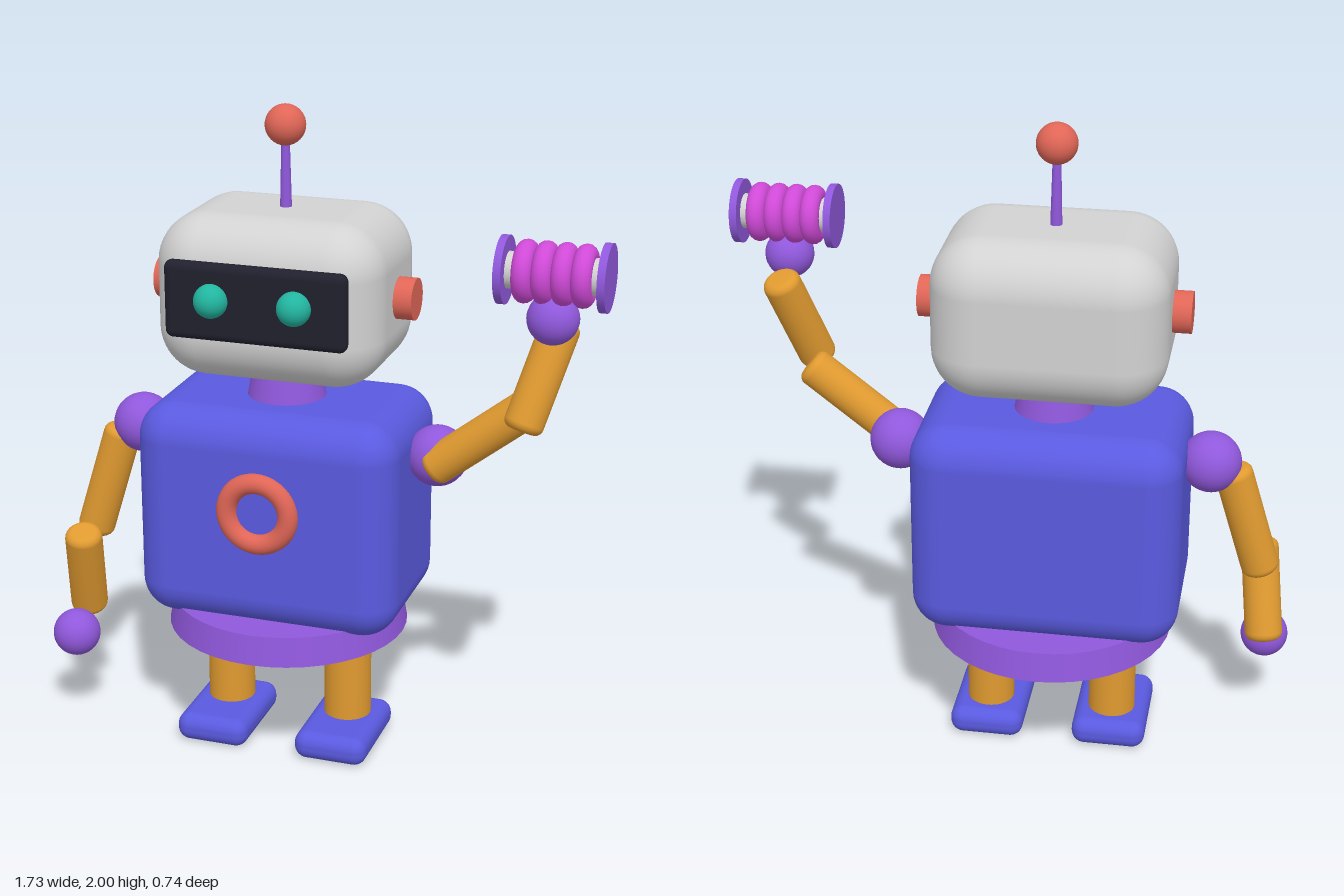
import * as THREE from 'three';
import { RoundedBoxGeometry } from 'three/addons/geometries/RoundedBoxGeometry.js';

const CX = -0.135; // centre line of the body

function material(name, color) {
  const m = new THREE.MeshStandardMaterial({ color });
  m.name = name;
  return m;
}

export function createModel() {
  const group = new THREE.Group();
  const blue = material('body blue', 0x5a5ae0);
  const purple = material('joint purple', 0x9058dc);
  const orange = material('limb orange', 0xe09a30);
  const grey = material('head grey', 0xd2d2d2);
  const red = material('accent red', 0xe06657);
  const teal = material('eye teal', 0x22b5a0);
  const dark = material('visor dark', 0x20202e);
  const magenta = material('coil magenta', 0xd04ad8);

  function add(name, geometry, mat, x, y, z, parent = group) {
    const mesh = new THREE.Mesh(geometry, mat);
    mesh.name = name;
    mesh.position.set(x, y, z);
    parent.add(mesh);
    return mesh;
  }
  const ball = (name, r, mat, x, y, z) =>
    add(name, new THREE.SphereGeometry(r, 32, 20), mat, x, y, z);
  const box = (name, w, h, d, r, mat, x, y, z) =>
    add(name, new RoundedBoxGeometry(w, h, d, 6, r), mat, x, y, z);
  const drum = (name, top, bottom, h, mat, x, y, z, parent) =>
    add(name, new THREE.CylinderGeometry(top, bottom, h, 40), mat, x, y, z, parent);

  // Round bar with softened rims between two points
  function limb(name, from, to, r = 0.058, bevel = 0.025) {
    const a = new THREE.Vector3(...from), b = new THREE.Vector3(...to);
    const half = a.distanceTo(b) / 2;
    const profile = [new THREE.Vector2(0, -half)];
    for (const side of [-1, 1]) {
      for (let i = 0; i <= 5; i++) {
        const t = (side < 0 ? i - 5 : i) / 5 * Math.PI / 2;
        profile.push(new THREE.Vector2(
          r - bevel + bevel * Math.cos(t),
          side * (half - bevel) + bevel * Math.sin(t)));
      }
    }
    profile.push(new THREE.Vector2(0, half));
    const mid = a.clone().add(b).multiplyScalar(0.5);
    const mesh = add(name, new THREE.LatheGeometry(profile, 28), orange, mid.x, mid.y, mid.z);
    mesh.quaternion.setFromUnitVectors(new THREE.Vector3(0, 1, 0), b.sub(a).normalize());
  }

  // Torso, chest ring, skirt and neck
  box('torso', 0.81, 0.675, 0.55, 0.11, blue, CX, 0.788, 0);
  add('chestRing', new THREE.TorusGeometry(0.096, 0.031, 16, 48), red, CX, 0.838, 0.275);
  drum('skirt', 0.355, 0.37, 0.09, purple, CX, 0.435, 0);
  drum('neck', 0.098, 0.123, 0.14, purple, CX, 1.17, 0);

  // Head with visor, eyes, ears and antenna
  box('head', 0.69, 0.49, 0.53, 0.15, grey, CX, 1.455, 0);
  box('visor', 0.55, 0.23, 0.05, 0.024, dark, CX, 1.473, 0.265);
  for (const side of [-1, 1]) {
    ball('eye', 0.05, teal, CX + side * 0.125, 1.483, 0.295);
    const ear = drum('ear', 0.062, 0.062, 0.12, red, CX + side * 0.34, 1.455, 0);
    ear.rotation.z = Math.PI / 2;
  }
  drum('antennaRod', 0.012, 0.018, 0.24, purple, CX, 1.79, 0);
  ball('antennaTip', 0.06, red, CX, 1.94, 0);

  // Hips, legs and feet
  for (const side of [-1, 1]) {
    const x = CX + side * 0.194;
    ball('hip', 0.089, purple, x, 0.36, 0);
    drum('leg', 0.073, 0.073, 0.25, orange, x, 0.195, 0);
    box('foot', 0.23, 0.09, 0.335, 0.04, blue, x, 0.045, 0.042);
  }

  // Lowered right arm
  ball('rightShoulder', 0.092, purple, -0.607, 0.98, 0);
  limb('rightUpperArm', [-0.67, 0.96, 0.01], [-0.775, 0.605, 0.03]);
  limb('rightForearm', [-0.76, 0.65, 0.15], [-0.795, 0.347, 0.05]);
  ball('rightHand', 0.074, purple, -0.792, 0.305, 0.16);

  // Raised left arm
  ball('leftShoulder', 0.092, purple, 0.336, 0.98, 0);
  limb('leftUpperArm', [0.33, 0.955, 0.053], [0.625, 1.185, 0.053]);
  limb('leftForearm', [0.625, 1.15, 0.175], [0.71, 1.452, 0.065]);
  ball('leftHand', 0.074, purple, 0.705, 1.49, 0.178);

  // Coil spool held in the left hand, built along y then laid on x
  const spool = new THREE.Group();
  spool.name = 'coilSpool';
  spool.position.set(0.706, 1.618, 0.177);
  spool.rotation.z = Math.PI / 2;
  group.add(spool);
  drum('spoolCore', 0.052, 0.052, 0.29, grey, 0, 0, 0, spool);
  for (const side of [-1, 1]) {
    drum('spoolEnd', 0.096, 0.096, 0.022, purple, 0, side * 0.143, 0, spool);
  }
  for (let i = 0; i < 4; i++) {
    const ring = add('coilRing', new THREE.TorusGeometry(0.06, 0.029, 16, 40), magenta,
      0, (i - 1.5) * 0.055, 0, spool);
    ring.rotation.x = Math.PI / 2;
  }
  return group;
}
